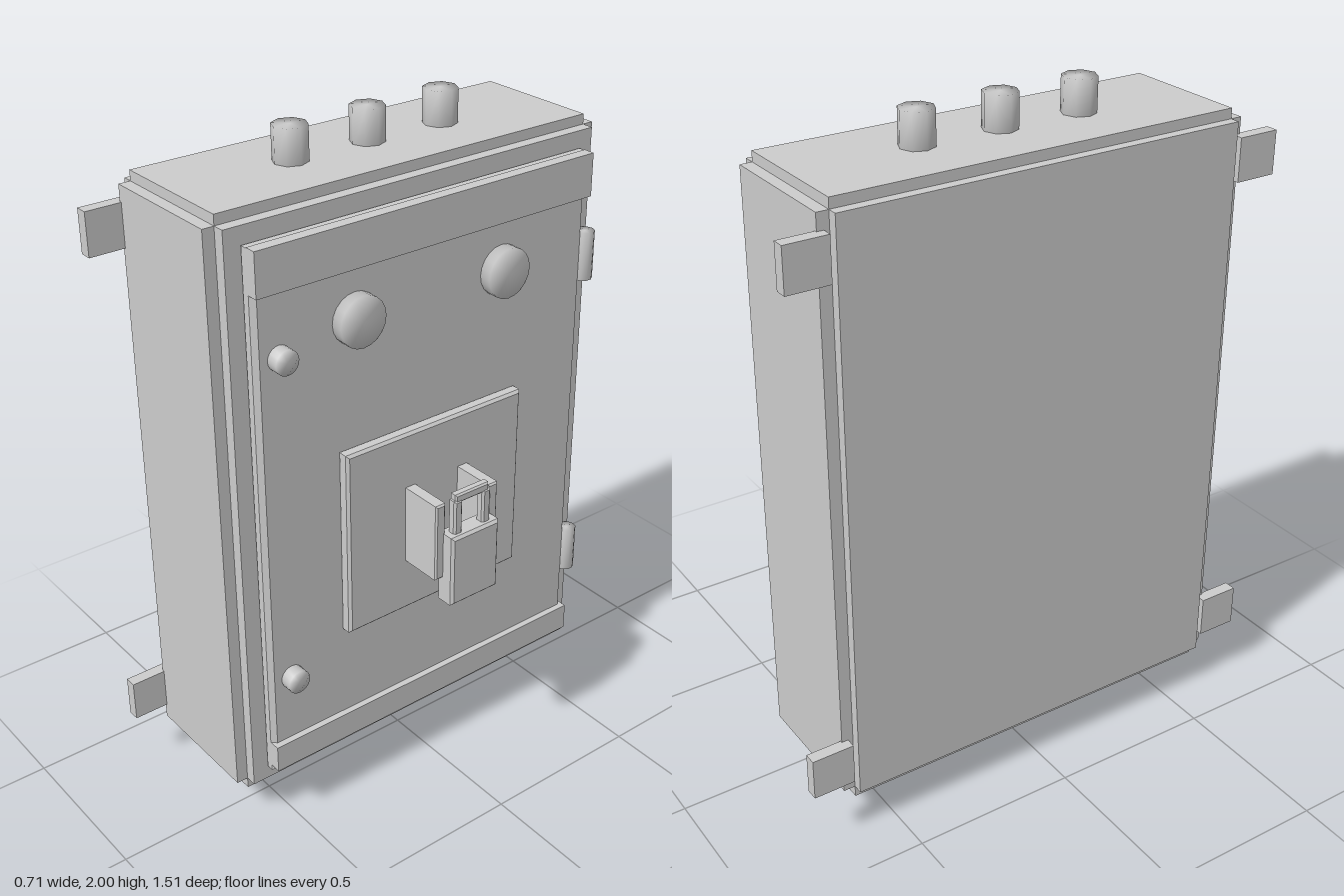
import * as THREE from 'three';
import { mergeVertices } from 'three/addons/utils/BufferGeometryUtils.js';

const grey = new THREE.MeshStandardMaterial({ color: 0xcccccc });
grey.name = 'light grey metal';

export function createModel() {
  const model = new THREE.Group();
  model.name = 'switchBox';

  const add = (name, geometry, x = 0, y = 0, z = 0) => {
    const mesh = new THREE.Mesh(geometry, grey);
    mesh.name = name;
    mesh.position.set(x, y, z);
    model.add(mesh);
    return mesh;
  };
  // Box given by its limits on each axis
  const box = (name, x0, x1, y0, y1, z0, z1) =>
    add(name, new THREE.BoxGeometry(x1 - x0, y1 - y0, z1 - z0),
      (x0 + x1) / 2, (y0 + y1) / 2, (z0 + z1) / 2);
  // Box with chamfered edges
  const chamferBox = (name, x0, x1, y0, y1, z0, z1, b) => {
    const w = (z1 - z0) / 2 - b, h = (y1 - y0) / 2 - b;
    const shape = new THREE.Shape([
      new THREE.Vector2(-w, -h), new THREE.Vector2(w, -h),
      new THREE.Vector2(w, h), new THREE.Vector2(-w, h),
    ]);
    const g = new THREE.ExtrudeGeometry(shape, {
      depth: x1 - x0 - 2 * b, bevelSize: b, bevelThickness: b, bevelSegments: 1,
    });
    g.translate(0, 0, b).rotateY(Math.PI / 2);
    return add(name, g, x0, (y0 + y1) / 2, (z0 + z1) / 2);
  };
  // Cylinder with normals blended over its rims
  const softCylinder = (r, h, sides) => {
    const g = new THREE.CylinderGeometry(r, r, h, sides);
    g.deleteAttribute('normal');
    g.deleteAttribute('uv');
    const merged = mergeVertices(g);
    merged.computeVertexNormals();
    return merged;
  };

  // Cabinet with stepped edges
  box('cabinetFrontBack', -0.36, 0.1, 0.14, 1.87, -0.615, 0.615);
  box('cabinetTopBottom', -0.33, 0.065, 0.105, 1.9, -0.615, 0.615);
  box('cabinetSides', -0.33, 0.065, 0.14, 1.87, -0.65, 0.65);

  // Door and its cross rails
  chamferBox('door', 0.09, 0.14, 0.187, 1.82, -0.567, 0.567, 0.014);
  box('doorTopRail', 0.125, 0.16, 1.695, 1.822, -0.567, 0.567);
  box('doorBottomRail', 0.125, 0.16, 0.205, 0.29, -0.567, 0.567);

  // Cable conduits above and below
  for (const z of [-0.252, 0, 0.252]) {
    for (const y of [0.06, 1.94]) add('conduit', softCylinder(0.05, 0.12, 8), -0.13, y, z);
  }

  // Wall brackets
  for (const s of [-1, 1]) {
    for (const y of [0.187, 1.695]) {
      const a = 0.63 * s, b = 0.757 * s;
      box('wallBracket', -0.36, -0.323, y, y + 0.127, Math.min(a, b), Math.max(a, b));
    }
  }

  // Hinges on the door's far edge
  for (const y of [0.503, 1.508]) add('hinge', softCylinder(0.029, 0.146, 10), 0.132, y, -0.58);

  // Indicator lamps and door latches
  for (const [name, r, y, z] of [
    ['lamp', 0.074, 1.55, 0.252], ['lamp', 0.074, 1.55, -0.252],
    ['latch', 0.036, 1.508, 0.493], ['latch', 0.036, 0.503, 0.493],
  ]) {
    add(name, softCylinder(r, 0.05, 20), 0.152, y, z).rotation.z = -Math.PI / 2;
  }

  // Switch plate, guards and lever
  chamferBox('switchPlate', 0.135, 0.177, 0.588, 1.17, -0.313, 0.313, 0.008);
  for (const s of [-1, 1]) {
    chamferBox('leverGuard', 0.17, 0.312, 0.757, 1.0,
      0.095 * s - 0.017, 0.095 * s + 0.017, 0.005);
    chamferBox('leverPost', 0.306, 0.336, 0.88, 1.01,
      0.051 * s - 0.015, 0.051 * s + 0.015, 0.006);
  }
  chamferBox('leverTopBar', 0.306, 0.333, 1.0, 1.028, -0.06, 0.06, 0.005);
  chamferBox('leverGrip', 0.286, 0.353, 0.68, 0.905, -0.086, 0.086, 0.008);

  return model;
}
